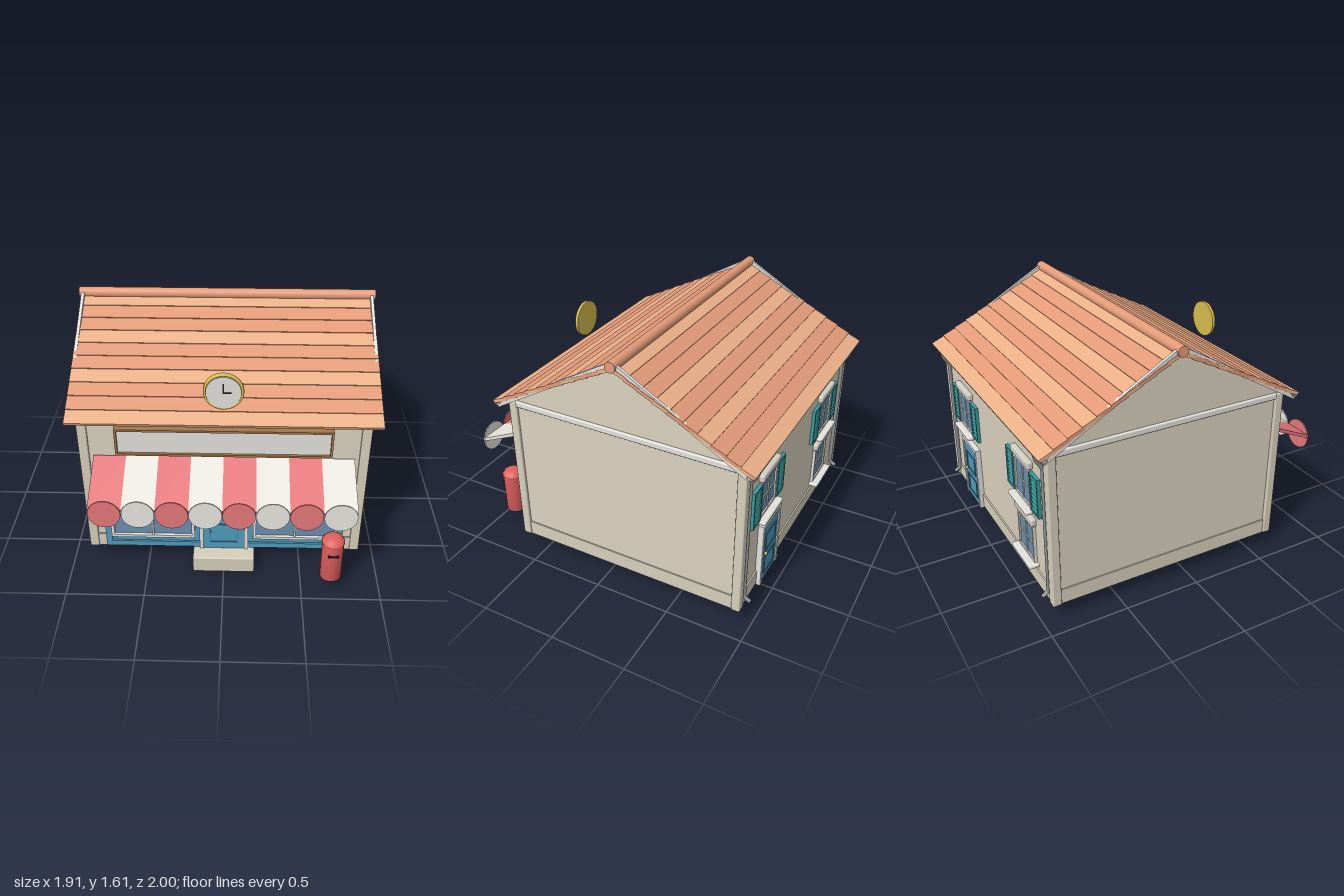
import * as THREE from 'three';
import { RoundedBoxGeometry } from 'three/addons/geometries/RoundedBoxGeometry.js';

const C = {
  wall: 0xdad2bf, trim: 0xd6cfbc, white: 0xe2e1dc, grey: 0x8c9094, blue: 0x4f9bbd, darkBlue: 0x3f86a8,
  glass: 0x6b8fb0, teal: 0x3a9c9c, red: 0xe0605f, awningRed: 0xe5787c, awningWhite: 0xe9e6df,
  tile: 0xe39b78, tileLight: 0xebb188, wood: 0xa5764a, gold: 0xd8bd4e, black: 0x222226, lintel: 0xd2cfc4,
};
const mats = {};
const mat = (c) => (mats[c] ??= new THREE.MeshStandardMaterial({ color: c }));

function add(parent, name, geo, color, x = 0, y = 0, z = 0) {
  const m = new THREE.Mesh(geo, mat(color));
  m.name = name;
  m.position.set(x, y, z);
  parent.add(m);
  return m;
}
const box = (p, name, color, w, h, d, x, y, z) => add(p, name, new THREE.BoxGeometry(w, h, d), color, x, y, z);
const rbox = (p, name, color, w, h, d, x, y, z, r = 0.008) =>
  add(p, name, new RoundedBoxGeometry(w, h, d, 2, r), color, x, y, z);
const disc = (p, name, color, r, d, x, y, z) =>
  add(p, name, new THREE.CylinderGeometry(r, r, d, 40).rotateX(Math.PI / 2), color, x, y, z);
function group(parent, name, x = 0, y = 0, z = 0, turn = 0) {
  const g = new THREE.Group();
  g.name = name;
  g.position.set(x, y, z);
  g.rotation.y = turn;
  parent.add(g);
  return g;
}

// Rectangular frame centred on x, y
function frame(p, name, color, w, h, t, d, x, y, z) {
  for (const s of [-1, 1]) {
    box(p, name, color, t, h, d, x + s * (w - t) / 2, y, z);
    box(p, name, color, w - 2 * t, t, d, x, y + s * (h - t) / 2, z);
  }
}

// Panelled door standing on y = 0, facing +z
function door(p, w, h, knobX, knobY) {
  box(p, 'doorLeaf', C.blue, w, h, 0.03, 0, h / 2, 0.005);
  frame(p, 'doorPanel', C.darkBlue, w * 0.7, h * 0.31, 0.008, 0.006, 0, h * 0.68, 0.022);
  frame(p, 'doorPanel', C.darkBlue, w * 0.7, h * 0.31, 0.008, 0.006, 0, h * 0.26, 0.022);
  for (const s of [-1, 1]) box(p, 'doorJamb', C.white, 0.025, h + 0.025, 0.045, s * (w / 2 + 0.0125), (h + 0.025) / 2, 0.005);
  box(p, 'doorHead', C.white, w, 0.025, 0.045, 0, h + 0.0125, 0.005);
  add(p, 'doorKnob', new THREE.SphereGeometry(0.011, 16, 12), C.gold, knobX, knobY, 0.03);
}

// Small window with lintel and sill, optionally shuttered, facing +z
function smallWindow(p, shutters) {
  box(p, 'glass', C.glass, 0.23, 0.25, 0.01, 0, 0, 0.004);
  frame(p, 'windowFrame', C.white, 0.24, 0.26, 0.016, 0.02, 0, 0, 0.008);
  box(p, 'glazingBar', C.white, 0.01, 0.24, 0.014, 0, 0, 0.008);
  box(p, 'glazingBar', C.white, 0.22, 0.01, 0.014, 0, 0, 0.008);
  rbox(p, 'lintel', C.lintel, 0.27, 0.05, 0.04, 0, 0.165, 0.012, 0.012);
  rbox(p, 'sill', C.white, 0.29, 0.024, 0.07, 0, -0.14, 0.026);
  if (!shutters) return;
  for (const s of [-1, 1]) {
    const x = s * 0.182;
    box(p, 'shutterBack', C.teal, 0.09, 0.24, 0.008, x, 0, 0.006);
    frame(p, 'shutterFrame', C.teal, 0.112, 0.26, 0.014, 0.022, x, 0, 0.012);
    for (let i = 0; i < 8; i++)
      box(p, 'shutterSlat', C.teal, 0.086, 0.022, 0.005, x, -0.102 + i * 0.029, 0.013).rotation.x = -0.45;
  }
}

// One pitch of the roof, falling towards +z from the ridge
function roofSlope(parent, turn) {
  const side = group(parent, 'roofSlope', 0, 1.582, -0.135, turn);
  const g = group(side, 'slopedTiles');
  g.rotation.x = 0.47;
  const length = 0.965, rows = 10, pitch = length / rows;
  for (let i = 0; i < rows; i++) {
    const t = box(g, 'tileRow', i % 3 ? C.tile : C.tileLight, 1.885, 0.022, pitch * 1.12, 0, -0.015, length - (i + 0.44) * pitch);
    t.rotation.x = -0.06;
  }
  for (const s of [-1, 1])
    box(g, 'vergeStrip', C.white, 0.02, 0.024, 0.965, s * 0.93, -0.016, 0.482).rotation.x = 0.055;
  const gutter = new THREE.CylinderGeometry(0.02, 0.02, 1.89, 16, 1, true, -Math.PI / 2, Math.PI).rotateZ(Math.PI / 2);
  const m = add(side, 'gutter', gutter.rotateX(Math.PI / 2), C.grey, 0, -0.45, 0.838);
  m.material = mat(C.grey).clone();
  m.material.side = THREE.DoubleSide;
}

export function createModel() {
  const root = new THREE.Group();
  root.name = 'cornerShop';

  // Walls with gables
  const shape = new THREE.Shape();
  [[-0.64, 0.1], [0.915, 0.1], [0.915, 1.15], [0.135, 1.545], [-0.64, 1.152]].forEach(([u, y], i) =>
    i ? shape.lineTo(u, y) : shape.moveTo(u, y));
  const walls = new THREE.ExtrudeGeometry(shape, { depth: 1.74, bevelEnabled: false });
  add(root, 'walls', walls.translate(0, 0, -0.87).rotateY(Math.PI / 2), C.wall);

  // Corner posts, plinth and cornice
  for (const x of [-0.86, 0.86]) {
    for (const z of [0.632, -0.907]) rbox(root, 'cornerPost', C.trim, 0.06, 1.03, 0.056, x, 0.615, z);
    const s = Math.sign(x);
    box(root, 'sidePlinth', C.trim, 0.02, 0.1, 1.5, s * 0.868, 0.15, -0.1375);
    rbox(root, 'sideCornice', C.white, 0.03, 0.04, 1.5, s * 0.872, 1.113, -0.1375);
  }
  for (const z of [0.64, -0.915]) {
    box(root, 'plinth', C.trim, 1.67, 0.1, 0.02, 0, 0.15, z);
    rbox(root, 'cornice', C.white, 1.67, 0.045, 0.03, 0, 1.108, z);
  }

  // Roof
  const roof = group(root, 'roof');
  roofSlope(roof, 0);
  roofSlope(roof, Math.PI);
  add(roof, 'ridgeTile', new THREE.CylinderGeometry(0.034, 0.034, 1.91, 24).rotateZ(Math.PI / 2), C.tile, 0, 1.58, -0.135);

  // Shop front
  const shop = group(root, 'shopFront');
  box(shop, 'shopPanel', C.blue, 1.55, 0.58, 0.02, 0, 0.41, 0.65);
  frame(shop, 'shopSurround', C.blue, 1.55, 0.58, 0.04, 0.035, 0, 0.41, 0.655);
  for (const s of [-1, 1]) {
    const x = s * 0.462;
    box(shop, 'shopGlass', C.glass, 0.52, 0.43, 0.008, x, 0.43, 0.66);
    frame(shop, 'shopWindowFrame', C.white, 0.545, 0.45, 0.02, 0.03, x, 0.43, 0.67);
    box(shop, 'shopMullion', C.white, 0.012, 0.42, 0.02, x, 0.43, 0.668);
  }
  door(group(shop, 'shopDoor', 0, 0.12, 0.662), 0.266, 0.5, 0.085, 0.215);
  rbox(root, 'doorstep', C.trim, 0.4, 0.12, 0.125, 0, 0.06, 0.718);

  // Blank sign board
  box(root, 'signBoard', C.white, 1.3, 0.17, 0.025, 0, 0.97, 0.658);
  frame(root, 'signFrame', C.wood, 1.32, 0.19, 0.014, 0.04, 0, 0.97, 0.667);

  // Striped awning with round scallops
  const awning = group(root, 'awning');
  for (let i = 0; i < 8; i++) {
    const x = -0.7 + i * 0.2, c = i % 2 ? C.awningWhite : C.awningRed;
    box(awning, 'awningStripe', c, 0.2, 0.022, 0.365, x, 0.768, 0.819).rotation.x = 0.42;
    disc(awning, 'awningScallop', c, 0.0985, 0.008, x, 0.672, 0.994);
  }

  // Clock
  const clock = group(root, 'clock', 0, 1.333, 0.665);
  disc(clock, 'clockBack', C.gold, 0.12, 0.016, 0, 0, -0.002);
  add(clock, 'clockRim', new THREE.TorusGeometry(0.112, 0.008, 10, 48), C.gold, 0, 0, 0.006);
  disc(clock, 'clockFace', C.white, 0.105, 0.012, 0, 0, 0.012);
  box(clock, 'minuteHand', C.black, 0.008, 0.065, 0.004, 0, 0.03, 0.021);
  box(clock, 'hourHand', C.black, 0.05, 0.008, 0.004, 0.022, 0, 0.021);

  // Pillar box
  const pillar = group(root, 'postBox', 0.685, 0.1, 0.88);
  const profile = [[0, 0], [0.068, 0], [0.068, 0.28], [0.072, 0.281], [0.072, 0.291], [0.068, 0.292],
    [0.06, 0.308], [0.045, 0.319], [0.025, 0.325], [0, 0.327]].map(([r, y]) => new THREE.Vector2(r, y));
  add(pillar, 'postBoxBody', new THREE.LatheGeometry(profile, 32), C.red);
  box(pillar, 'postBoxSlot', C.black, 0.066, 0.012, 0.02, 0, 0.212, 0.062);

  // Rear wall
  const rear = group(root, 'rearWall', 0, 0, -0.916, Math.PI);
  smallWindow(group(rear, 'upperWindow', -0.52, 0.76, 0), true);
  smallWindow(group(rear, 'upperWindow', 0.5, 0.76, 0), true);
  smallWindow(group(rear, 'lowerWindow', 0.505, 0.375, 0), false);
  door(group(rear, 'rearDoor', -0.465, 0.09, 0.008), 0.235, 0.435, -0.085, 0.22);
  for (const x of [-0.815, 0.815]) {
    const path = new THREE.CatmullRomCurve3([[1.12, 0.06], [1.07, 0.05], [1.01, 0.015], [0.95, 0.014], [0.6, 0.014],
      [0.22, 0.014], [0.17, 0.018], [0.145, 0.055]].map(([y, z]) => new THREE.Vector3(x, y, z)), false, 'centripetal');
    const pipe = add(rear, 'downpipe', new THREE.TubeGeometry(path, 48, 0.013, 12), C.grey);
    pipe.material = mat(C.grey).clone();
    pipe.material.side = THREE.DoubleSide;
  }
  return root;
}
